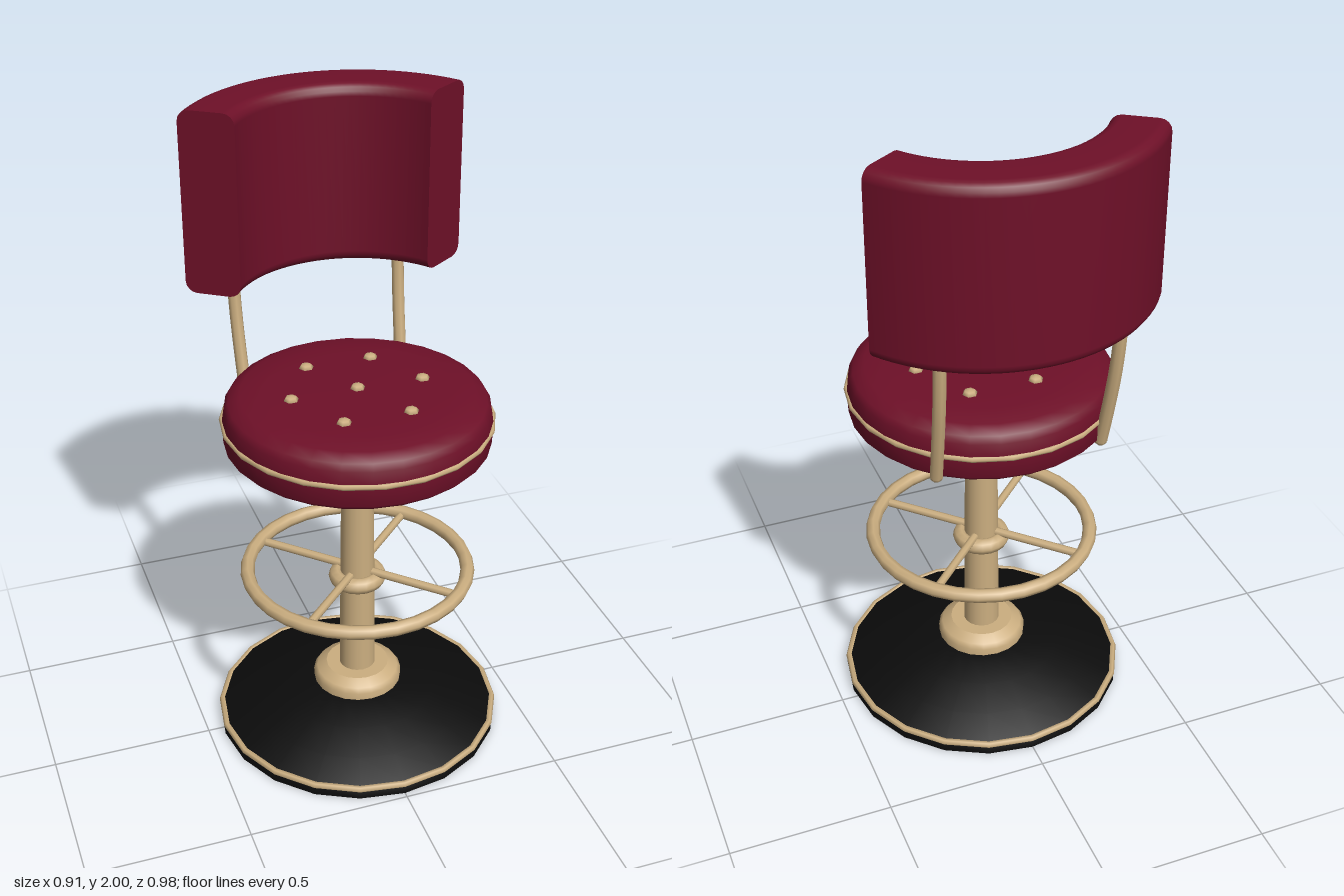
import * as THREE from 'three';

const material = (name, color) => {
  const m = new THREE.MeshStandardMaterial({ color });
  m.name = name;
  return m;
};

export function createModel() {
  const red = material('burgundy leather', 0x6e1028);
  const tan = material('tan metal', 0xcbae80);
  const black = material('black enamel', 0x0b0b0b);

  const model = new THREE.Group();
  model.name = 'swivelBarStool';
  // everything turns around one upright axis, set slightly forward
  const stool = new THREE.Group();
  stool.name = 'stool';
  stool.position.z = 0.031;
  model.add(stool);

  const add = (name, geometry, mat, x = 0, y = 0, z = 0) => {
    const mesh = new THREE.Mesh(geometry, mat);
    mesh.name = name;
    mesh.position.set(x, y, z);
    stool.add(mesh);
    return mesh;
  };
  // a repeated profile point makes a hard edge
  const turned = (name, mat, profile, sides) =>
    add(name, new THREE.LatheGeometry(profile.map(p => new THREE.Vector2(...p)), sides, Math.PI / 2), mat);
  const ring = (name, radius, tube, y, sides, tubeSides = 8) =>
    add(name, new THREE.TorusGeometry(radius, tube, tubeSides, sides).rotateX(Math.PI / 2), tan, 0, y);

  // base and column
  turned('base', black, [[0, 0], [0.452, 0], [0.452, 0], [0.452, 0.026], [0.44, 0.036],
    [0.35, 0.072], [0.25, 0.108], [0.14, 0.132], [0, 0.134]], 20);
  ring('baseTrim', 0.444, 0.011, 0.03, 20, 6);
  turned('baseFlange', tan, [[0.14, 0.12], [0.141, 0.155], [0.13, 0.17], [0.1, 0.188], [0.1, 0.188], [0, 0.188]], 20);
  add('column', new THREE.CylinderGeometry(0.05, 0.058, 0.81, 18), tan, 0, 0.555);

  // footrest
  ring('footCollar', 0.065, 0.026, 0.525, 20);
  ring('footRing', 0.346, 0.022, 0.557, 32);
  for (let i = 0; i < 4; i++) {
    const spoke = new THREE.CylinderGeometry(0.013, 0.013, 0.3, 8)
      .rotateZ(Math.PI / 2).translate(0.195, 0, 0).rotateY(Math.PI / 4 + i * Math.PI / 2);
    add('footSpoke', spoke, tan, 0, 0.552);
  }

  // seat
  turned('seatPan', black, [[0, 0.948], [0.245, 0.948], [0.245, 0.948], [0.32, 1.012]], 24);
  turned('seatCushion', red, [[0, 1.008], [0.32, 1.008], [0.385, 1.018], [0.402, 1.035], [0.405, 1.1],
    [0.398, 1.145], [0.385, 1.165], [0.35, 1.183], [0.28, 1.189], [0.2, 1.192], [0, 1.195]], 28);
  ring('seatPiping', 0.404, 0.009, 1.1, 22, 6);
  const button = (x, y, z) =>
    add('button', new THREE.SphereGeometry(0.023, 6, 4).scale(1, 0.6, 1), tan, x, y, z);
  button(0, 1.196, 0);
  for (let i = 0; i < 6; i++) {
    const a = i * Math.PI / 3;
    button(0.205 * Math.cos(a), 1.192, 0.205 * Math.sin(a));
  }

  // backrest: rounded section swept around the axis
  const r0 = 0.353, r1 = 0.523, y0 = 1.443, y1 = 2, c = 0.035, mid = (r0 + r1) / 2;
  const section = [[mid, y0]];
  [[r1 - c, y0 + c], [r1 - c, y1 - c], [r0 + c, y1 - c], [r0 + c, y0 + c]].forEach(([x, y], k) => {
    for (let i = 0; i <= 4; i++) {
      const a = (k - 1 + i / 4) * Math.PI / 2;
      section.push([x + c * Math.cos(a), y + c * Math.sin(a)]);
    }
  });
  section.push([mid, y0]);
  const half = 0.972, start = Math.PI - half;
  add('backrest', new THREE.LatheGeometry(section.map(p => new THREE.Vector2(...p)), 28, start, 2 * half), red);
  for (const side of [1, -1]) {
    // flat end, mirrored and turned round for the second one
    const outline = new THREE.Shape(section.slice(0, -1).map(([x, y]) => new THREE.Vector2(side * x, y)));
    const turn = side > 0 ? start - Math.PI / 2 : start + 2 * half + Math.PI / 2;
    add('backrestEnd', new THREE.ShapeGeometry(outline).rotateY(turn), red);

    // curved support
    const path = new THREE.CatmullRomCurve3([[0.256, 1.03, -0.312], [0.26, 1.15, -0.34],
      [0.264, 1.3, -0.37], [0.266, 1.44, -0.386], [0.266, 1.52, -0.388]]
      .map(([x, y, z]) => new THREE.Vector3(side * x, y, z)));
    add('backSupport', new THREE.TubeGeometry(path, 14, 0.02, 8), tan);
    add('supportTip', new THREE.SphereGeometry(0.02, 8, 6), tan, side * 0.256, 1.03, -0.312);
  }
  return model;
}
